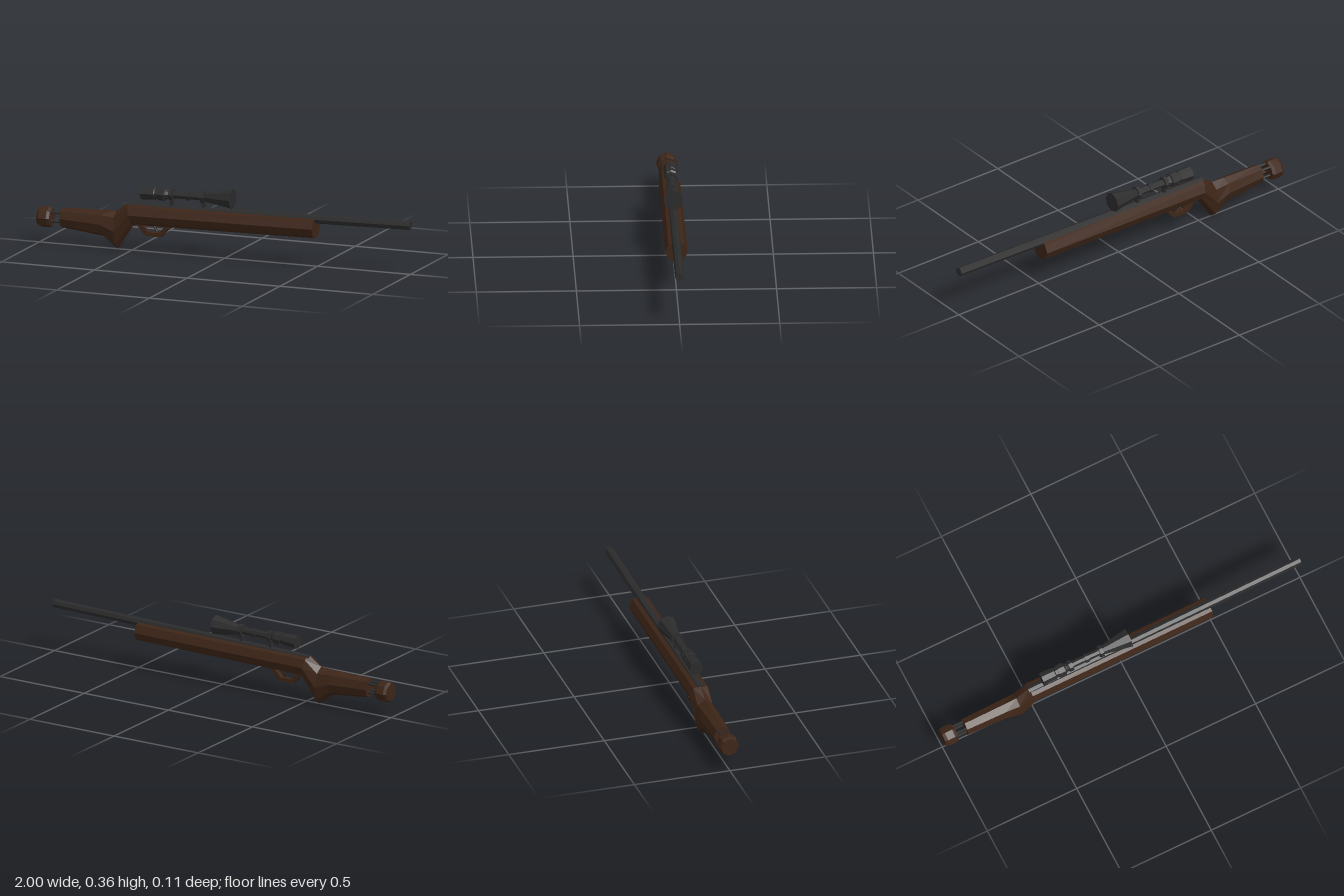
import * as THREE from 'three';

const wood = new THREE.MeshStandardMaterial({ color: 0x3d2517, flatShading: true });
const metal = new THREE.MeshStandardMaterial({ color: 0x2b2b2b, flatShading: true });

const V = (x, y, z = 0) => new THREE.Vector3(x, y, z);

function add(parent, name, geometry, material) {
  const mesh = new THREE.Mesh(geometry, material);
  mesh.name = name;
  parent.add(mesh);
  return mesh;
}

// Eight-sided turned shape along +x from [x, radius] pairs
function turned(profile) {
  const pts = profile.map(([x, r]) => new THREE.Vector2(r, x));
  return new THREE.LatheGeometry(pts, 8).rotateZ(-Math.PI / 2);
}

// Straight rod between two points
function rod(a, b, r, sides = 8) {
  const dir = b.clone().sub(a);
  const g = new THREE.CylinderGeometry(r, r, dir.length(), sides);
  g.applyQuaternion(new THREE.Quaternion().setFromUnitVectors(V(0, 1), dir.normalize()));
  const mid = a.clone().add(b).multiplyScalar(0.5);
  return g.translate(mid.x, mid.y, mid.z);
}

// Octagonal loft; each section is [topX, topY, bottomX, bottomY, halfWidth]
function loft(sections) {
  const pos = [], idx = [], N = 8;
  for (const [tx, ty, bx, by, w] of sections) {
    for (let k = 0; k < N; k++) {
      const a = (k / N) * Math.PI * 2;
      const t = (1 + Math.cos(a)) / 2;
      pos.push(bx + (tx - bx) * t, by + (ty - by) * t, Math.sin(a) * w);
    }
  }
  for (let i = 0; i < sections.length - 1; i++) {
    for (let k = 0; k < N; k++) {
      const a = i * N + k, b = i * N + (k + 1) % N;
      idx.push(a, b, a + N, b, b + N, a + N);
    }
  }
  const last = (sections.length - 1) * N;
  for (let k = 1; k < N - 1; k++) {
    idx.push(0, k + 1, k, last, last + k, last + k + 1);
  }
  const g = new THREE.BufferGeometry();
  g.setAttribute('position', new THREE.Float32BufferAttribute(pos, 3));
  g.setIndex(idx);
  g.computeVertexNormals();
  return g;
}

export function createModel() {
  const model = new THREE.Group();
  model.name = 'rifle';

  // Stock with pointed grip, running forward under the barrel
  add(model, 'stock', loft([
    [-0.875, 0.187, -0.875, 0.085, 0.044],
    [-0.66, 0.192, -0.655, 0.06, 0.05],
    [-0.585, 0.195, -0.575, 0, 0.053],
    [-0.515, 0.243, -0.49, 0.13, 0.053],
    [0.49, 0.252, 0.49, 0.142, 0.057],
  ]), wood);

  // Butt pad carried on four thin rods
  const butt = add(model, 'buttPad', turned([
    [-1, 0], [-1, 0.046], [-0.985, 0.053], [-0.945, 0.053], [-0.93, 0.046], [-0.93, 0],
  ]), wood);
  butt.position.y = 0.132;
  for (const sy of [-1, 1]) {
    for (const sz of [-1, 1]) {
      const y = 0.14 + sy * 0.023, z = sz * 0.02;
      add(model, 'buttRod', rod(V(-0.94, y, z), V(-0.86, y, z), 0.007, 6), metal);
    }
  }

  // Barrel, rising slightly to the muzzle
  add(model, 'barrel', rod(V(-0.52, 0.223), V(1, 0.25), 0.023), metal);

  // Trigger guard and trigger
  const outline = [[-0.475, 0.14], [-0.425, 0.08], [-0.34, 0.08], [-0.285, 0.14],
    [-0.315, 0.14], [-0.352, 0.1], [-0.412, 0.1], [-0.445, 0.14]];
  const shape = new THREE.Shape(outline.map(([x, y]) => new THREE.Vector2(x, y)));
  const guard = new THREE.ExtrudeGeometry(shape, { depth: 0.024, bevelEnabled: false });
  add(model, 'triggerGuard', guard.translate(0, 0, -0.012), wood);
  add(model, 'trigger', rod(V(-0.385, 0.14), V(-0.365, 0.106), 0.006, 6), wood);

  // Scope: eyepiece, adjustment rings, tube and flared front bell
  const scope = new THREE.Group();
  scope.name = 'scope';
  scope.position.y = 0.305;
  scope.rotation.z = 0.012;
  model.add(scope);
  add(scope, 'scopeBody', turned([
    [-0.445, 0], [-0.445, 0.036], [-0.375, 0.033], [-0.37, 0.029], [-0.355, 0.029],
    [-0.355, 0.035], [-0.32, 0.035], [-0.315, 0.027], [-0.295, 0.019],
    [-0.12, 0.019], [-0.105, 0.024], [0.042, 0.051], [0.042, 0],
  ]), metal);
  for (const [x, r, w] of [[-0.285, 0.031, 0.02], [-0.195, 0.024, 0.02], [-0.115, 0.033, 0.018]]) {
    add(scope, 'scopeRing', turned([
      [x - w / 2, 0], [x - w / 2, r], [x + w / 2, r], [x + w / 2, 0],
    ]), metal);
  }

  // Scope mounts
  for (const x of [-0.285, -0.115]) {
    add(model, 'scopeMount', new THREE.BoxGeometry(0.016, 0.075, 0.02).translate(x, 0.262, 0), metal);
  }

  return model;
}
